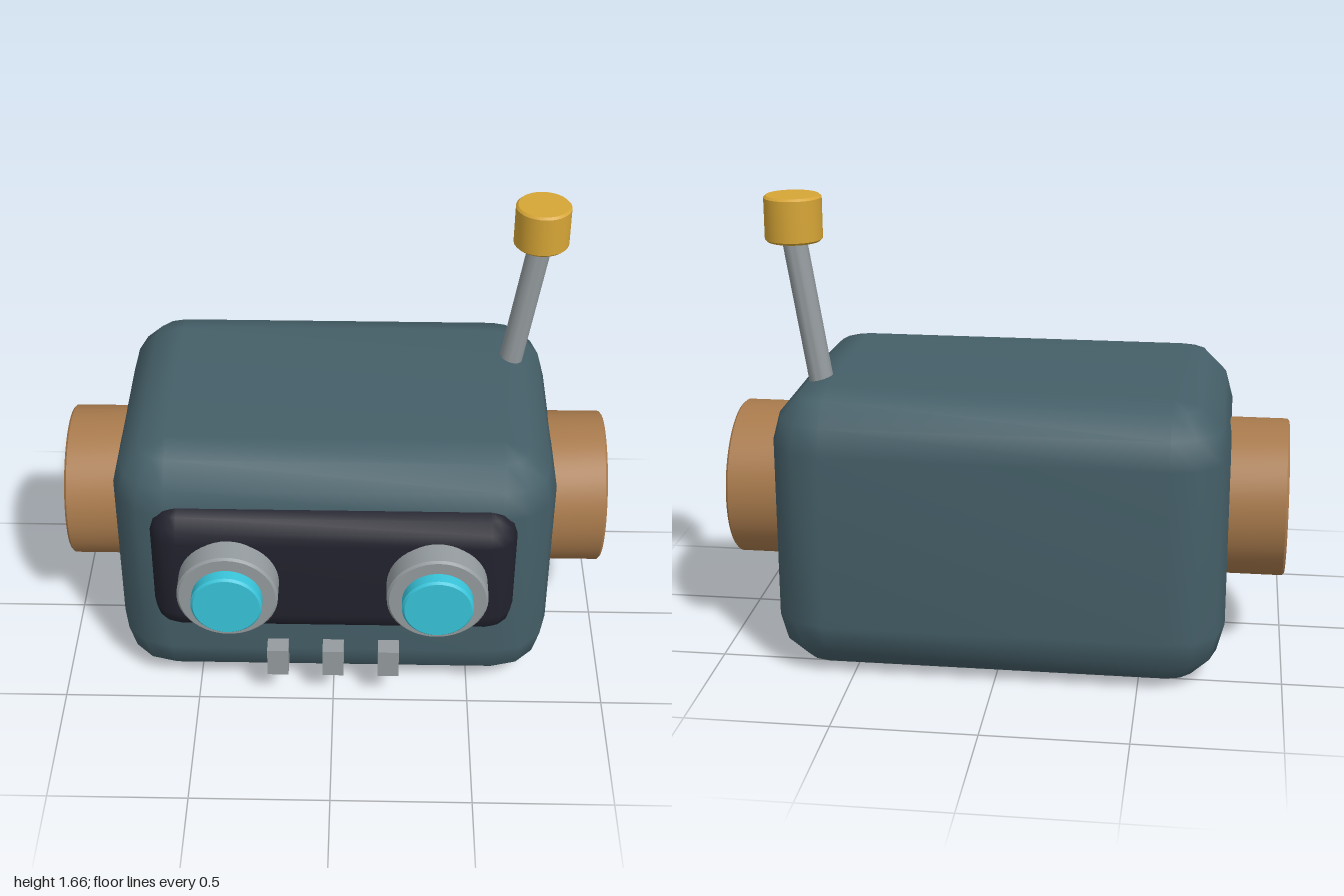
import * as THREE from 'three';
import { mergeVertices, toCreasedNormals } from 'three/addons/utils/BufferGeometryUtils.js';

const mat = (name, color) => {
  const m = new THREE.MeshStandardMaterial({ color });
  m.name = name;
  return m;
};

// Rounded block lofted from rings, with `n` facets per rounded edge
function roundedBlock(w, h, d, r, n = 3) {
  const pos = [], index = [], s = n + 1, ring = 4 * s, rows = 2 * s;
  for (let i = 0; i < rows; i++) {
    const upper = i >= s;
    const lat = ((i - (upper ? 1 : 0)) / n - 1) * Math.PI / 2;
    for (let j = 0; j < ring; j++) {
      const corner = Math.floor(j / s);
      const lon = (corner + (j % s) / n) * Math.PI / 2;
      const sx = corner === 0 || corner === 3 ? 1 : -1;
      const sz = corner < 2 ? 1 : -1;
      pos.push(
        sx * (w / 2 - r) + r * Math.cos(lat) * Math.cos(lon),
        (upper ? 1 : -1) * (h / 2 - r) + r * Math.sin(lat),
        sz * (d / 2 - r) + r * Math.cos(lat) * Math.sin(lon)
      );
      if (i < rows - 1) {
        const a = i * ring + j, e = i * ring + (j + 1) % ring;
        index.push(a, a + ring, e + ring, a, e + ring, e);
      }
    }
  }
  const t = (rows - 1) * ring;
  index.push(0, s, 2 * s, 0, 2 * s, 3 * s);
  index.push(t, t + 2 * s, t + s, t, t + 3 * s, t + 2 * s);
  const g = new THREE.BufferGeometry();
  g.setAttribute('position', new THREE.Float32BufferAttribute(pos, 3));
  g.setIndex(index);
  const merged = mergeVertices(g, 1e-4);
  merged.computeVertexNormals();
  return merged;
}

// Disc or rod along y with small chamfered rims
function bevelCylinder(r, h, b = 0.008, sides = 48) {
  const y = h / 2;
  const profile = [[0, -y], [r - b, -y], [r, b - y], [r, y - b], [r - b, y], [0, y]]
    .map(([px, py]) => new THREE.Vector2(px, py));
  return toCreasedNormals(new THREE.LatheGeometry(profile, sides), 0.5);
}

export function createModel() {
  const model = new THREE.Group();
  model.name = 'robotHead';
  const teal = mat('teal shell', 0x455f68);
  const dark = mat('dark visor', 0x22222e);
  const brown = mat('copper brown', 0xa87a4c);
  const grey = mat('grey metal', 0x949b9e);
  const cyan = mat('cyan lens', 0x38c4da);
  const gold = mat('gold tip', 0xd6a536);

  const add = (name, geometry, material, x, y, z) => {
    const mesh = new THREE.Mesh(geometry, material);
    mesh.name = name;
    mesh.position.set(x, y, z);
    model.add(mesh);
    return mesh;
  };

  // Head shell and face plate
  add('shell', roundedBlock(1.59, 1.02, 1.1, 0.2), teal, 0, 0.51, -0.11);
  add('visor', roundedBlock(1.3, 0.52, 0.2, 0.1), dark, 0, 0.595, 0.42);

  // Eyes and ears, mirrored
  const rim = bevelCylinder(0.178, 0.13);
  const lens = bevelCylinder(0.125, 0.09);
  const ear = bevelCylinder(0.283, 0.24);
  for (const side of [-1, 1]) {
    const label = side > 0 ? 'left' : 'right';
    add(label + 'EyeRim', rim, grey, side * 0.368, 0.597, 0.545).rotation.x = Math.PI / 2;
    add(label + 'EyeLens', lens, cyan, side * 0.368, 0.597, 0.613).rotation.x = Math.PI / 2;
    add(label + 'Ear', ear, brown, side * 0.88, 0.555, -0.11).rotation.z = Math.PI / 2;
  }

  // Row of buttons below the visor
  const button = new THREE.BoxGeometry(0.077, 0.118, 0.12);
  for (const i of [-1, 0, 1]) add('button', button, grey, i * 0.203, 0.188, 0.447);

  // Leaning antenna with an upright tip
  const foot = new THREE.Vector3(0.651, 0.995, -0.312);
  const top = new THREE.Vector3(0.734, 1.52, -0.312);
  const lean = top.clone().sub(foot);
  const rod = add('antennaRod', bevelCylinder(0.043, lean.length(), 0.004, 32), grey,
    ...foot.clone().add(top).multiplyScalar(0.5).toArray());
  rod.quaternion.setFromUnitVectors(new THREE.Vector3(0, 1, 0), lean.normalize());
  add('antennaTip', bevelCylinder(0.1, 0.16), gold, 0.732, 1.576, -0.312);

  return model;
}
